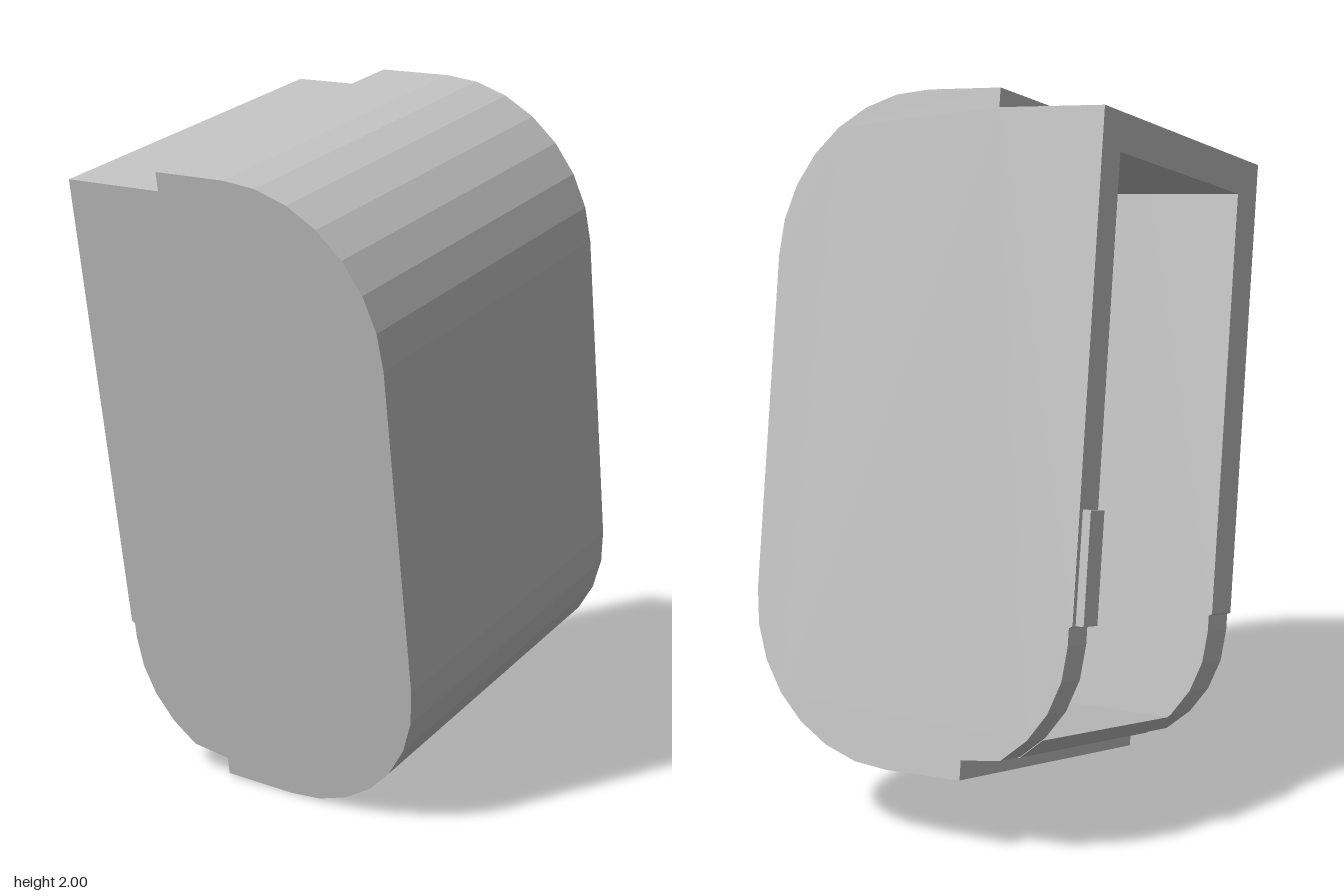
import * as THREE from 'three';

// Tilted hollow housing: one rounded profile run along its width, open at the back.
// Profile coordinates: x = depth (front positive), y = height.

function arc(cx, cy, r, from, to, n) {
  const pts = [];
  for (let i = 0; i <= n; i++) {
    const t = THREE.MathUtils.degToRad(from + ((to - from) * i) / n);
    pts.push([cx + r * Math.cos(t), cy + r * Math.sin(t)]);
  }
  return pts;
}

// Outer contour from the top back corner, over the front, to the bottom lip
const outer = [
  [-0.489, 0.86], [-0.18, 0.86], [-0.18, 0.912],
  ...arc(0.039, 0.462, 0.45, 90, 0, 7),
  ...arc(0.039, -0.462, 0.45, 0, -90, 7),
  [-0.187, -0.912], [-0.187, -0.86],
];

// Rounded lower back edge of the end walls, with the small step above it
const lowerBack = [
  ...arc(-0.109, -0.532, 0.37, 238, 180, 4),
  [-0.479, -0.485], [-0.489, -0.48],
];

// Cavity contour, from the lip back up to the top
const cavity = [
  [-0.305, -0.848], [-0.37, -0.795], [0.31, -0.78], [0.31, -0.54],
  [0.43, -0.5], [0.43, 0.63], [0.33, 0.755], [-0.489, 0.755],
];

export function createModel() {
  const grey = new THREE.MeshStandardMaterial({ color: 0xc0c0c0 });
  grey.name = 'light grey';

  const body = new THREE.Group();
  body.name = 'housing';

  // Extrudes a contour between two positions across the width
  function addSlab(name, points, from, to) {
    const shape = new THREE.Shape(points.map(([x, y]) => new THREE.Vector2(x, y)));
    const geo = new THREE.ExtrudeGeometry(shape, { depth: to - from, bevelEnabled: false });
    geo.translate(0, 0, from);
    const mesh = new THREE.Mesh(geo, grey);
    mesh.name = name;
    body.add(mesh);
  }

  addSlab('thinEndWall', [...outer, ...lowerBack], -0.526, -0.419);
  addSlab('wrapShell', [...outer, ...cavity], -0.419, 0.386);
  addSlab('thickEndWall', [...outer, ...lowerBack], 0.386, 0.526);

  // Raised strip on the back edge of the thin wall
  const strip = new THREE.Mesh(new THREE.BoxGeometry(0.04, 0.3, 0.08), grey);
  strip.name = 'backStrip';
  strip.position.set(-0.492, -0.33, -0.468);
  body.add(strip);

  // Lean the housing sideways and slightly back
  const u = new THREE.Vector3(0.979, 0.2, -0.033).normalize();
  const w = u.clone().cross(new THREE.Vector3(-0.2, 0.98, 0.045)).normalize();
  const v = w.clone().cross(u);
  body.quaternion.setFromRotationMatrix(new THREE.Matrix4().makeBasis(w, v, u.clone().negate()));
  body.position.y = 1;

  const model = new THREE.Group();
  model.name = 'model';
  model.add(body);
  return model;
}
